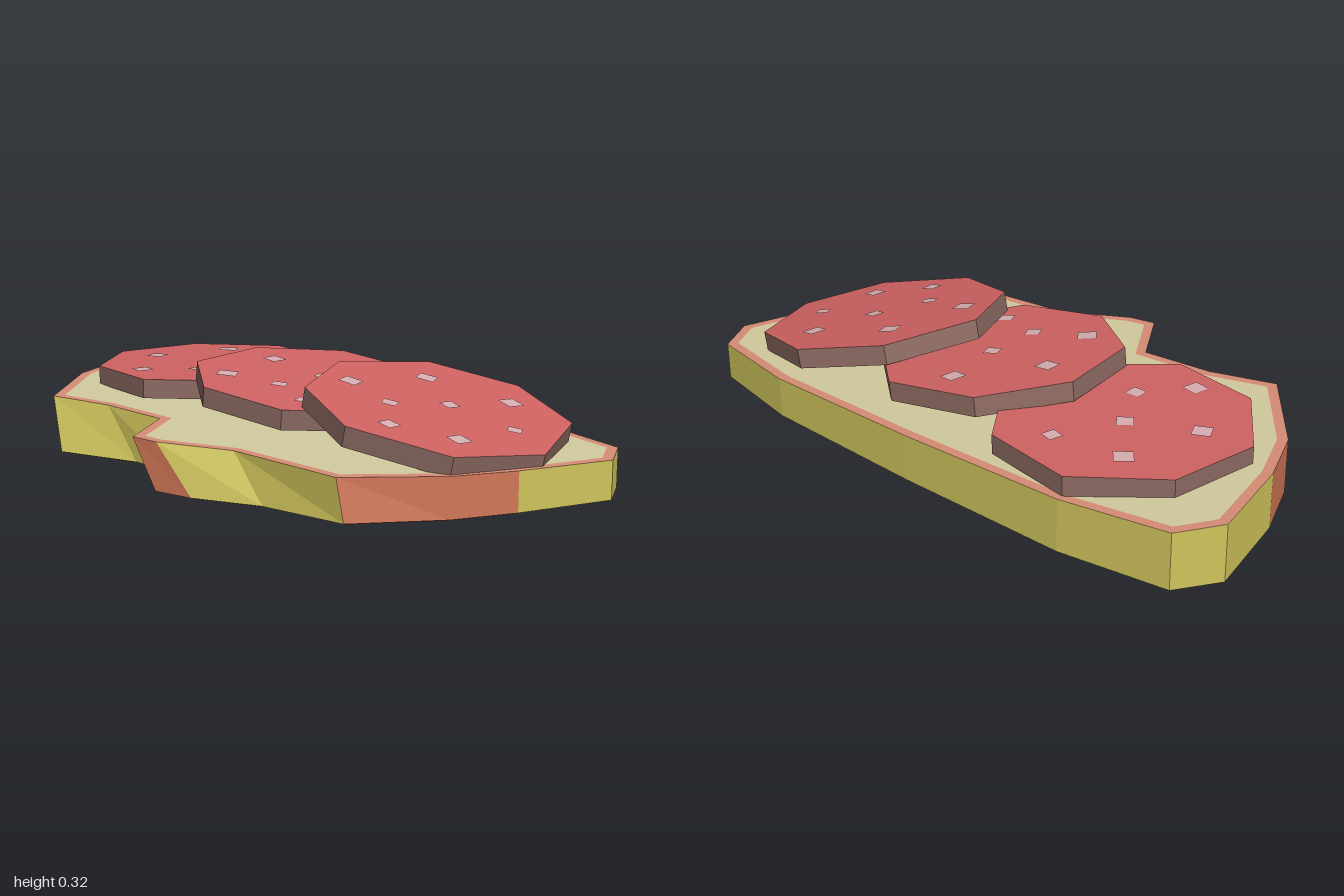
import * as THREE from 'three';

const mat = (name, color, side = THREE.FrontSide) =>
  Object.assign(new THREE.MeshStandardMaterial({ color, flatShading: true, side }), { name });

const M = {
  crumb: mat('crumb', 0xd2cb9e),
  crustRim: mat('crust rim', 0xd78d76),
  crustGold: mat('golden crust', 0xd0c55c),
  crustToast: mat('toasted crust', 0xd27757),
  meat: mat('salami meat', 0xd06262),
  rind: mat('salami rind', 0x8d6a62),
  fat: mat('fat speck', 0xd6adb0),
};

function mesh(name, tris, material) {
  const g = new THREE.BufferGeometry();
  g.setAttribute('position', new THREE.Float32BufferAttribute(tris.flat(2), 3));
  g.computeVertexNormals();
  const m = new THREE.Mesh(g, material);
  m.name = name;
  return m;
}

// Lift a flat [x, z] loop to 3D with a height rule
const lift = (loop, height) => loop.map(([x, z]) => [x, height(x, z), z]);

// Band of triangles between two matching loops, for the chosen segments only
function strip(a, b, use = () => true) {
  const out = [];
  a.forEach((p, i) => {
    const j = (i + 1) % a.length;
    if (use(i)) out.push([p, b[i], b[j]], [p, b[j], a[j]]);
  });
  return out;
}

// Filled loop facing up or down
function cap(loop, up) {
  const flat = loop.map(p => new THREE.Vector2(p[0], p[2]));
  return THREE.ShapeUtils.triangulateShape(flat, []).map(f => {
    const [a, b, c] = f.map(i => loop[i]);
    const ny = (b[2] - a[2]) * (c[0] - a[0]) - (b[0] - a[0]) * (c[2] - a[2]);
    return (ny > 0) === up ? [a, b, c] : [a, c, b];
  });
}

// Shrink a loop by an even border, with mitred corners
function inset(loop, d) {
  const n = loop.length;
  const normal = (p, q) => {
    const l = Math.hypot(q[0] - p[0], q[1] - p[1]);
    return [-(q[1] - p[1]) / l, (q[0] - p[0]) / l];
  };
  return loop.map((p, i) => {
    const u = normal(loop[(i + n - 1) % n], p), v = normal(p, loop[(i + 1) % n]);
    const k = d / (1 + u[0] * v[0] + u[1] * v[1]);
    return [p[0] + (u[0] + v[0]) * k, p[1] + (u[1] + v[1]) * k];
  });
}

function makeBread() {
  const bread = new THREE.Group();
  bread.name = 'breadSlice';
  // Shared back and sides, running left to right round the back
  const back = [[-1, -0.35], [-0.92, -0.48], [-0.58, -0.54], [0, -0.55], [0.58, -0.54],
    [0.92, -0.48], [1, -0.35], [0.915, -0.05], [0.84, 0.14]];
  const end = [[-0.84, 0.14], [-0.925, -0.05]];
  // The bitten front edge leans sideways from top to bottom
  const top = [...back, [0.66, 0.39], [0.28, 0.42], [0.07, 0.53], [-0.02, 0.545],
    [-0.15, 0.345], [-0.39, 0.36], [-0.6, 0.42], ...end];
  const bottom = [...back, [0.68, 0.38], [0.4, 0.42], [0.2, 0.51], [0.07, 0.535],
    [-0.05, 0.36], [-0.25, 0.36], [-0.52, 0.45], ...end];
  const topY = x => 0.155 - 0.03 * x;
  const t = lift(top, topY), ti = lift(inset(top, 0.031), topY);
  const b = lift(bottom, () => 0.01), bi = lift(inset(bottom, 0.031), () => 0);
  const toasted = i => [7, 8, 11, 15, 16].includes(i);
  bread.add(
    mesh('goldenCrust', strip(b, t, i => !toasted(i)), M.crustGold),
    mesh('toastedCrust', strip(b, t, toasted), M.crustToast),
    mesh('topCrustRim', strip(t, ti), M.crustRim),
    mesh('bottomCrustRim', strip(bi, b), M.crustRim),
    mesh('topCrumb', cap(ti, true), M.crumb),
    mesh('bottomCrumb', cap(bi, false), M.crumb),
  );
  return bread;
}

// Tilted salami slice: height at x = 0, slope along x, outline and speck centres
function makeSalami(name, { height, slope, outline, specks }) {
  const slice = new THREE.Group();
  slice.name = name;
  const thick = 0.06;
  const top = lift(outline, x => height + slope * x);
  const low = top.map(([x, y, z]) => [x + slope * thick, y - thick, z]);
  slice.add(
    mesh('rind', strip(low, top), M.rind),
    mesh('meatFace', cap(top, true), M.meat),
    mesh('underside', cap(low, false), M.rind),
  );
  // Square fat flecks lying just above the meat
  const tris = specks.flatMap(([cx, cz, turn, size]) => {
    const square = [0, 1, 2, 3].map(k => {
      const a = turn + k * Math.PI / 2, r = size * Math.SQRT1_2;
      return [cx + r * Math.cos(a), cz + r * Math.sin(a)];
    });
    return cap(lift(square, x => height + slope * x + 0.003), true);
  });
  slice.add(mesh('fatSpecks', tris, M.fat));
  return slice;
}

const SLICES = {
  leftSalami: {
    height: 0.233, slope: 0,
    outline: [[-0.81, -0.33], [-0.58, -0.52], [-0.28, -0.48], [-0.11, -0.26],
      [-0.15, 0.02], [-0.38, 0.23], [-0.67, 0.19], [-0.85, -0.04]],
    specks: [[-0.63, -0.33, 0.05, 0.057], [-0.405, -0.37, 1.0, 0.045], [-0.5, -0.17, 0.1, 0.05],
      [-0.695, -0.07, 0.3, 0.055], [-0.405, -0.01, 0.75, 0.047], [-0.515, 0.13, 0.95, 0.055]],
  },
  middleSalami: {
    height: 0.264, slope: -0.11,
    outline: [[-0.15, -0.42], [0.15, -0.47], [0.37, -0.3], [0.43, -0.03],
      [0.27, 0.23], [-0.02, 0.28], [-0.26, 0.11], [-0.31, -0.18]],
    specks: [[0.015, -0.34, 0.95, 0.055], [-0.165, -0.13, 0.78, 0.055], [0.06, -0.13, 0.4, 0.045],
      [0.065, 0.055, 0.25, 0.045], [-0.1, 0.12, 0.1, 0.058], [0.23, 0.105, 0.3, 0.047]],
  },
  rightSalami: {
    height: 0.356, slope: -0.21,
    outline: [[0.26, -0.39], [0.52, -0.51], [0.8, -0.42], [0.93, -0.14],
      [0.84, 0.13], [0.56, 0.26], [0.29, 0.16], [0.16, -0.1]],
    specks: [[0.62, -0.36, 0.95, 0.055], [0.37, -0.265, 0.35, 0.055], [0.775, -0.195, 0.2, 0.04],
      [0.56, -0.16, 0.95, 0.045], [0.305, -0.01, 0.5, 0.055], [0.48, 0.005, 0.3, 0.042],
      [0.76, 0.02, 0.9, 0.052], [0.6, 0.13, 0.75, 0.047]],
  },
};

export function createModel() {
  const model = new THREE.Group();
  model.name = 'openSalamiSandwich';
  model.add(makeBread());
  for (const [name, spec] of Object.entries(SLICES)) model.add(makeSalami(name, spec));
  return model;
}
